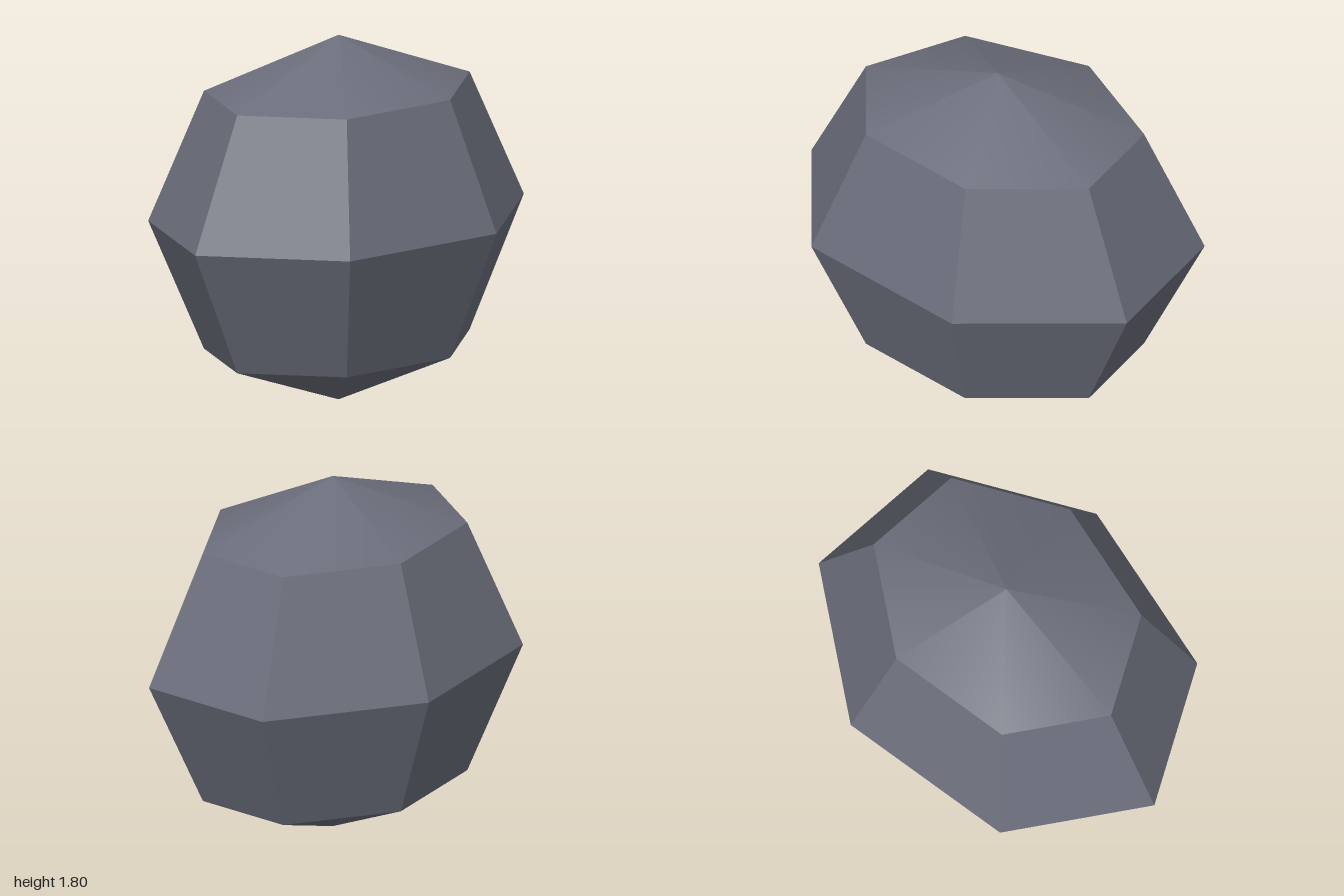
import * as THREE from 'three';
import { toCreasedNormals } from 'three/addons/utils/BufferGeometryUtils.js';

export function createModel() {
  const group = new THREE.Group();
  group.name = 'boulder';

  const stone = new THREE.MeshStandardMaterial({ color: 0x6b6e7b });
  stone.name = 'slate grey';

  // Seven-sided low-poly ball, stretched along x; the caps shade smoothly, the bands are faceted
  const ball = new THREE.SphereGeometry(1, 7, 4);
  ball.scale(1.052, 0.9, 0.82);
  ball.translate(0.052, 0.9, 0);

  const rock = new THREE.Mesh(toCreasedNormals(ball, THREE.MathUtils.degToRad(30)), stone);
  rock.name = 'rock';
  group.add(rock);
  return group;
}
